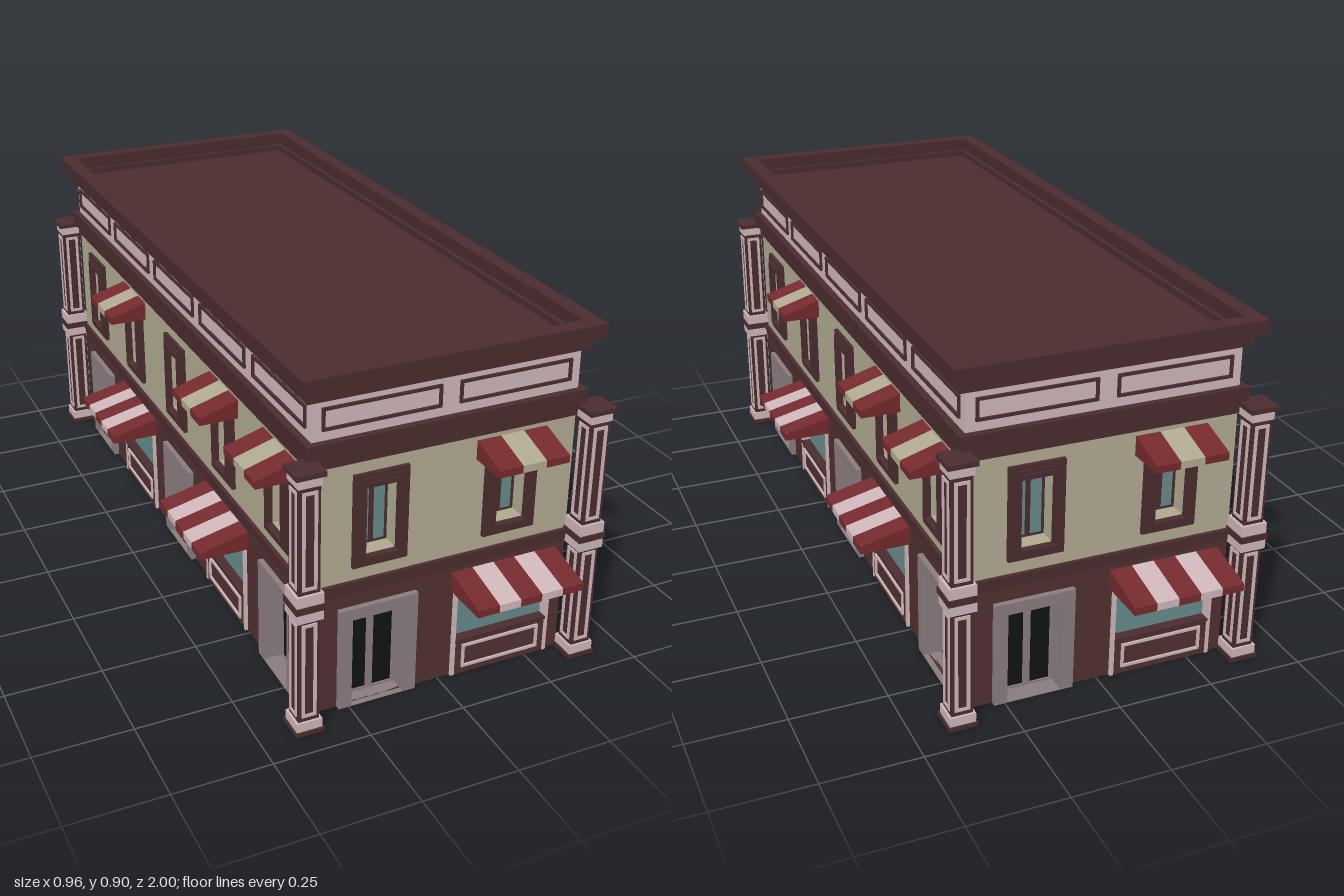
import * as THREE from 'three';

const mat = (color) => new THREE.MeshStandardMaterial({ color, side: THREE.DoubleSide });
const M = {
  trim: mat(0x4a2c2e), brick: mat(0x50302f), pink: mat(0xcdb6b9), beige: mat(0xb0a990),
  glass: mat(0x668a8b), black: mat(0x111312), stone: mat(0x8a7c7e), red: mat(0x742a2d),
};
const HX = 0.348, HZ = 0.869, BAY = 0.347;

function add(parent, name, geo, material) {
  const m = new THREE.Mesh(geo, material);
  m.name = name;
  parent.add(m);
  return m;
}

function rectPath(Kind, [x0, y0, x1, y1]) {
  return new Kind([[x0, y0], [x1, y0], [x1, y1], [x0, y1]].map(([x, y]) => new THREE.Vector2(x, y)));
}

// Slab in the wall plane from z0 to z1, with rectangular holes
function plate(parent, name, rect, holes, z0, z1, material) {
  const s = rectPath(THREE.Shape, rect);
  s.holes = holes.map((h) => rectPath(THREE.Path, h));
  const geo = new THREE.ExtrudeGeometry(s, { depth: z1 - z0, bevelEnabled: false });
  return add(parent, name, geo.translate(0, 0, z0), material);
}

// Rectangular frame of constant width
function frame(parent, name, [x0, y0, x1, y1], t, z0, z1, material) {
  plate(parent, name, [x0, y0, x1, y1], [[x0 + t, y0 + t, x1 - t, y1 - t]], z0, z1, material);
}

// Horizontal moulding running round the whole building
function band(parent, name, y0, y1, out, inset, material) {
  const a = HX + out, b = HZ + out, c = HX - inset, d = HZ - inset;
  const s = rectPath(THREE.Shape, [-a, -b, a, b]);
  s.holes.push(rectPath(THREE.Path, [-c, -d, c, d]));
  const geo = new THREE.ExtrudeGeometry(s, { depth: y1 - y0, bevelEnabled: false });
  add(parent, name, geo.rotateX(-Math.PI / 2).translate(0, y0, 0), material);
}

// Striped awning: sloping sheet with a valance and closed ends
function awning(parent, width, count, depth, yTop, yLip, yBottom, pale) {
  const g = new THREE.Group();
  g.name = 'awning';
  const t = 0.005;
  const prism = (pts, x0, x1, name, material) => {
    const s = new THREE.Shape(pts.map(([z, y]) => new THREE.Vector2(z, y)));
    const geo = new THREE.ExtrudeGeometry(s, { depth: x1 - x0, bevelEnabled: false });
    add(g, name, geo.rotateY(-Math.PI / 2).translate(x1, 0, 0), material);
  };
  const sheet = [[0, yTop], [depth, yLip], [depth, yBottom], [depth - t, yBottom], [depth - t, yLip - t], [0, yTop - t]];
  const end = [[0, yTop - t], [depth - t, yLip - t], [depth - t, yBottom], [0, yBottom]];
  const w = width / count;
  for (let i = 0; i < count; i++) {
    const x = -width / 2 + i * w;
    prism(sheet, x, x + w, 'awningStripe', i % 2 ? pale : M.red);
  }
  prism(end, -width / 2, -width / 2 + t, 'awningEnd', M.red);
  prism(end, width / 2 - t, width / 2, 'awningEnd', M.red);
  parent.add(g);
}

function upperWindow(parent, hasAwning) {
  const g = new THREE.Group();
  g.name = 'upperWindow';
  [[0, 0, 0.01], [0.011, 0, 0.014], [0.02, 0, 0.018]].forEach(([i, z0, z1]) => {
    plate(g, 'windowFrame', [-0.071 + i, 0.386 + i, 0.071 - i, 0.63 - i], [[-0.042, 0.414, 0.042, 0.597]], z0, z1, M.trim);
  });
  frame(g, 'windowReveal', [-0.046, 0.41, 0.046, 0.601], 0.004, -0.05, 0, M.beige);
  frame(g, 'windowCasing', [-0.052, 0.404, 0.052, 0.607], 0.006, -0.05, -0.01, M.trim);
  plate(g, 'sash', [-0.042, 0.414, 0.042, 0.597],
    [[-0.036, 0.419, -0.006, 0.592], [0.006, 0.419, 0.036, 0.592]], -0.05, -0.042, M.trim);
  plate(g, 'windowGlass', [-0.042, 0.414, 0.042, 0.597], [], -0.048, -0.045, M.glass);
  if (hasAwning) awning(g, 0.19, 3, 0.102, 0.648, 0.617, 0.598, M.beige);
  parent.add(g);
}

function door(parent) {
  const g = new THREE.Group();
  g.name = 'door';
  plate(g, 'doorSurround', [-0.104, 0, 0.104, 0.278], [[-0.07, -0.001, 0.07, 0.247]].map(([a, , c, d]) => [a, 0.002, c, d]), -0.045, 0.014, M.stone);
  plate(g, 'doorLeaves', [-0.07, 0.002, 0.07, 0.247],
    [[-0.061, 0.008, -0.009, 0.239], [0.009, 0.008, 0.061, 0.239]], -0.045, -0.033, M.stone);
  plate(g, 'doorPanes', [-0.066, 0.004, 0.066, 0.243], [], -0.042, -0.037, M.black);
  parent.add(g);
}

function shopWindow(parent) {
  const g = new THREE.Group();
  g.name = 'shopWindow';
  plate(g, 'shopGlass', [-0.135, 0.1, 0.135, 0.29], [], -0.02, -0.016, M.glass);
  plate(g, 'shopBase', [-0.13, 0, 0.13, 0.096], [], -0.02, 0.006, M.brick);
  plate(g, 'shopSill', [-0.13, 0.096, 0.13, 0.104], [], -0.02, 0.01, M.trim);
  frame(g, 'basePanelMoulding', [-0.11, 0.019, 0.11, 0.086], 0.007, 0.006, 0.011, M.pink);
  for (const s of [-1, 1]) {
    const x = s * 0.134;
    plate(g, 'shopPost', [x - 0.005, 0, x + 0.005, 0.27], [], -0.02, 0.008, M.pink);
  }
  awning(g, 0.294, 5, 0.131, 0.301, 0.27, 0.25, M.pink);
  parent.add(g);
}

// One wall made of bays: doors and shop windows alternate below
function facade(bays, half, awningBays) {
  const f = new THREE.Group();
  f.name = 'facade';
  const centres = Array.from({ length: bays }, (_, i) => (i - (bays - 1) / 2) * BAY);
  const shift = (r, dx) => [r[0] + dx, r[1], r[2] + dx, r[3]];
  const low = centres.map((c, i) => shift(i % 2 ? [-0.132, 0.002, 0.132, 0.285] : [-0.1, 0.002, 0.1, 0.274], c));
  const high = centres.map((c) => shift([-0.042, 0.414, 0.042, 0.597], c));
  plate(f, 'groundFloorWall', [-half, 0, half, 0.32], low, -0.01, 0, M.brick);
  plate(f, 'upperFloorWall', [-half, 0.32, half, 0.68], high, -0.01, 0, M.beige);
  plate(f, 'friezeWall', [-half, 0.68, half, 0.85], [], -0.01, 0, M.pink);
  centres.forEach((c, i) => {
    const bay = new THREE.Group();
    bay.name = 'bay';
    bay.position.x = c;
    if (i % 2) shopWindow(bay); else door(bay);
    upperWindow(bay, awningBays.includes(i));
    frame(bay, 'friezePanel', [-0.15, 0.757, 0.15, 0.814], 0.007, 0, 0.006, M.trim);
    f.add(bay);
  });
  return f;
}

function column() {
  const g = new THREE.Group();
  g.name = 'cornerColumn';
  const tiers = [ // bottom, top, half width, material
    [0, 0.011, 0.037, M.trim], [0.011, 0.035, 0.033, M.pink], [0.035, 0.314, 0.027, M.trim],
    [0.314, 0.34, 0.034, M.pink], [0.34, 0.357, 0.037, M.trim], [0.357, 0.385, 0.034, M.pink],
    [0.385, 0.66, 0.027, M.trim], [0.66, 0.684, 0.03, M.pink], [0.684, 0.696, 0.037, M.trim],
  ];
  for (const [y0, y1, h, material] of tiers) {
    add(g, 'columnTier', new THREE.BoxGeometry(2 * h, y1 - y0, 2 * h).translate(0, (y0 + y1) / 2, 0), material);
  }
  // Pale panel mouldings on all four shaft faces
  for (let k = 0; k < 4; k++) {
    const side = new THREE.Group();
    side.name = 'columnFace';
    side.rotation.y = k * Math.PI / 2;
    frame(side, 'columnPanel', [-0.019, 0.047, 0.019, 0.305], 0.008, 0.027, 0.03, M.pink);
    frame(side, 'columnPanel', [-0.019, 0.396, 0.019, 0.649], 0.008, 0.027, 0.03, M.pink);
    g.add(side);
  }
  return g;
}

export function createModel() {
  const root = new THREE.Group();
  root.name = 'cornerShopBuilding';

  // Opposite walls repeat by a half turn
  for (const turn of [0, Math.PI]) {
    const half = new THREE.Group();
    half.name = 'halfBuilding';
    half.rotation.y = turn;
    const end = facade(2, HX, [1]);
    end.position.z = HZ;
    const side = facade(5, HZ, [1, 3, 4]);
    side.rotation.y = Math.PI / 2;
    side.position.x = HX;
    half.add(end, side);
    for (const s of [-1, 1]) {
      const c = column();
      c.position.set(s * 0.379, 0, 0.903);
      half.add(c);
    }
    root.add(half);
  }

  // Belt course, lower cornice and parapet
  band(root, 'beltCourse', 0.317, 0.335, 0.006, 0.012, M.trim);
  band(root, 'beltCourse', 0.335, 0.35, 0.01, 0.012, M.trim);
  band(root, 'lowerCornice', 0.662, 0.68, 0.006, 0.012, M.trim);
  band(root, 'lowerCornice', 0.68, 0.696, 0.011, 0.012, M.trim);
  band(root, 'lowerCornice', 0.696, 0.732, 0.018, 0.012, M.trim);
  band(root, 'upperCornice', 0.837, 0.87, 0.019, 0.012, M.trim);
  band(root, 'parapet', 0.87, 0.905, 0.041, 0, M.trim);
  add(root, 'roof', new THREE.BoxGeometry(2 * HX, 0.006, 2 * HZ).translate(0, 0.85, 0), M.trim);
  return root;
}
